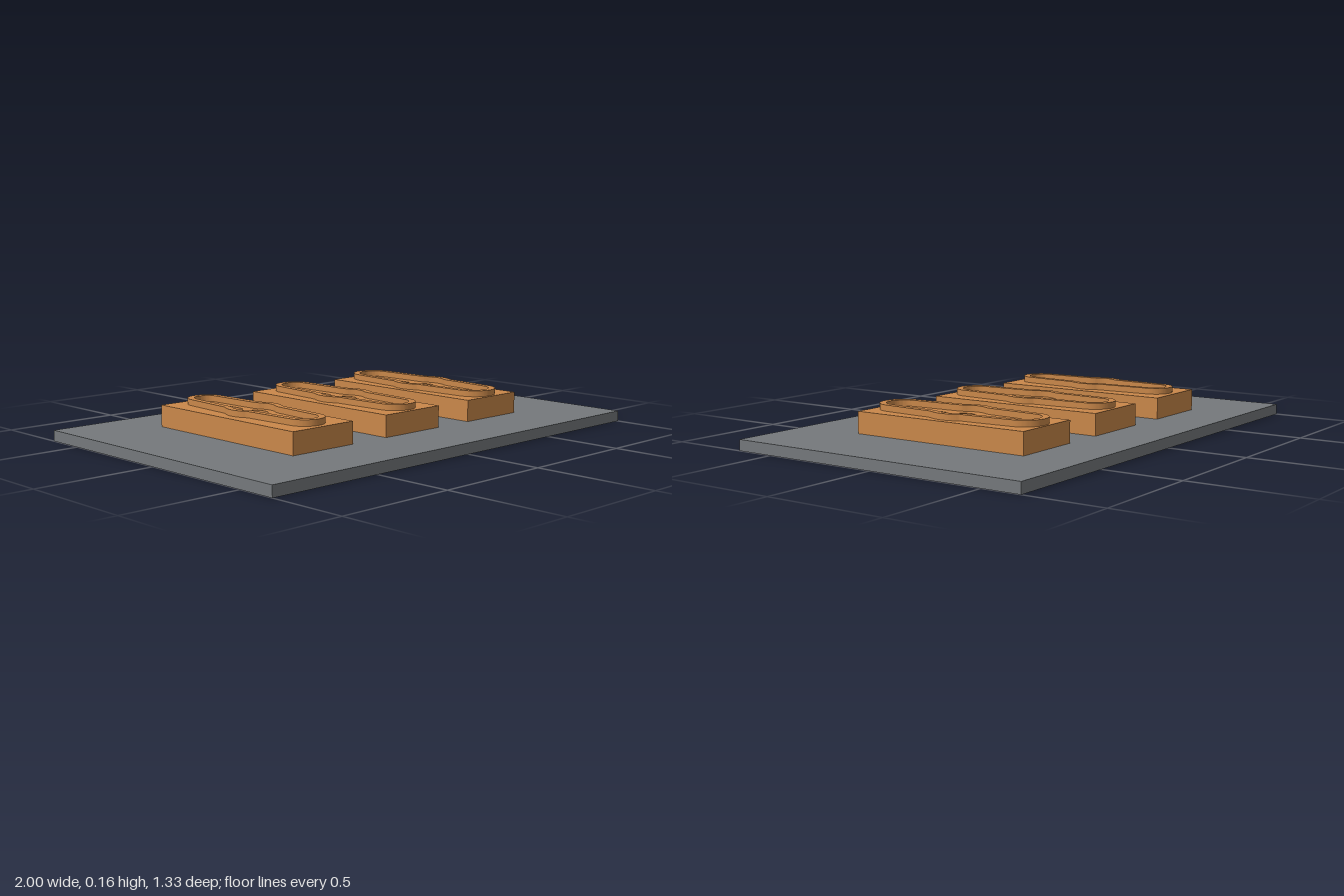
import * as THREE from 'three';
import { toCreasedNormals } from 'three/addons/utils/BufferGeometryUtils.js';

const PLATE_TOP = 0.045, BLOCK_TOP = 0.135, RIM_TOP = 0.16;

// Long rounded outline with a round bulge in the middle; r is the end radius.
function outline(PathClass, r) {
  const capZ = 0.298, R = r + 0.035, a = 0.56, t = 0.07;
  const jx = R * Math.cos(a), jz = R * Math.sin(a);
  const w = r + 0.012, fz = jz + 0.062;
  const cz = jz + (jx - w) / Math.tan(a);
  const p = new PathClass();
  p.absarc(0, 0, R, -a, a, false);
  p.quadraticCurveTo(w, cz, w - 0.001, fz);
  p.absarc(0, capZ, r, t, Math.PI - t, false);
  p.lineTo(-w + 0.001, fz);
  p.quadraticCurveTo(-w, cz, -jx, jz);
  p.absarc(0, 0, R, Math.PI - a, Math.PI + a, false);
  p.quadraticCurveTo(-w, -cz, -w + 0.001, -fz);
  p.absarc(0, -capZ, r, Math.PI + t, 2 * Math.PI - t, false);
  p.lineTo(w - 0.001, -fz);
  p.quadraticCurveTo(w, -cz, jx, -jz);
  return p;
}

// Straight slot with rounded ends, centred at z
function slot(z) {
  const r = 0.028, h = 0.044, p = new THREE.Path();
  p.absarc(0, z + h, r, 0, Math.PI, false);
  p.absarc(0, z - h, r, Math.PI, 2 * Math.PI, false);
  p.closePath();
  return p;
}

// Extrude a plan shape upwards from y0 to y1
function slab(shape, y0, y1) {
  const g = new THREE.ExtrudeGeometry(shape, { depth: y1 - y0, bevelEnabled: false, curveSegments: 20 });
  g.rotateX(-Math.PI / 2);
  g.translate(0, y0, 0);
  return toCreasedNormals(g, 0.6);
}

export function createModel() {
  const model = new THREE.Group();
  const grey = new THREE.MeshStandardMaterial({ color: 0x75797c });
  grey.name = 'plate grey';
  const orange = new THREE.MeshStandardMaterial({ color: 0xca884a });
  orange.name = 'block orange';

  const add = (parent, name, geometry, material) => {
    const mesh = new THREE.Mesh(geometry, material);
    mesh.name = name;
    parent.add(mesh);
    return mesh;
  };

  // Base plate
  add(model, 'basePlate', new THREE.BoxGeometry(2, PLATE_TOP, 1.334), grey)
    .position.y = PLATE_TOP / 2;

  // Block plan with a round hole and two slots
  const plan = new THREE.Shape([
    new THREE.Vector2(-0.154, -0.4), new THREE.Vector2(0.154, -0.4),
    new THREE.Vector2(0.154, 0.4), new THREE.Vector2(-0.154, 0.4),
  ]);
  const hole = new THREE.Path();
  hole.absarc(0, 0, 0.056, 0, Math.PI * 2, false);
  plan.holes.push(hole, slot(0.157), slot(-0.157));
  const blockGeometry = slab(plan, PLATE_TOP, BLOCK_TOP);

  // Three blocks, each rim slightly larger than the last
  ['right', 'middle', 'left'].forEach((side, i) => {
    const unit = new THREE.Group();
    unit.name = side + 'Unit';
    unit.position.set((i - 1) * 0.489, 0, -0.025);
    add(unit, side + 'Block', blockGeometry, orange);

    const r = 0.077 + i * 0.0075;
    const rim = outline(THREE.Shape, r);
    rim.holes.push(outline(THREE.Path, r - 0.027));
    add(unit, side + 'Rim', slab(rim, BLOCK_TOP, RIM_TOP), orange);
    model.add(unit);
  });
  return model;
}
